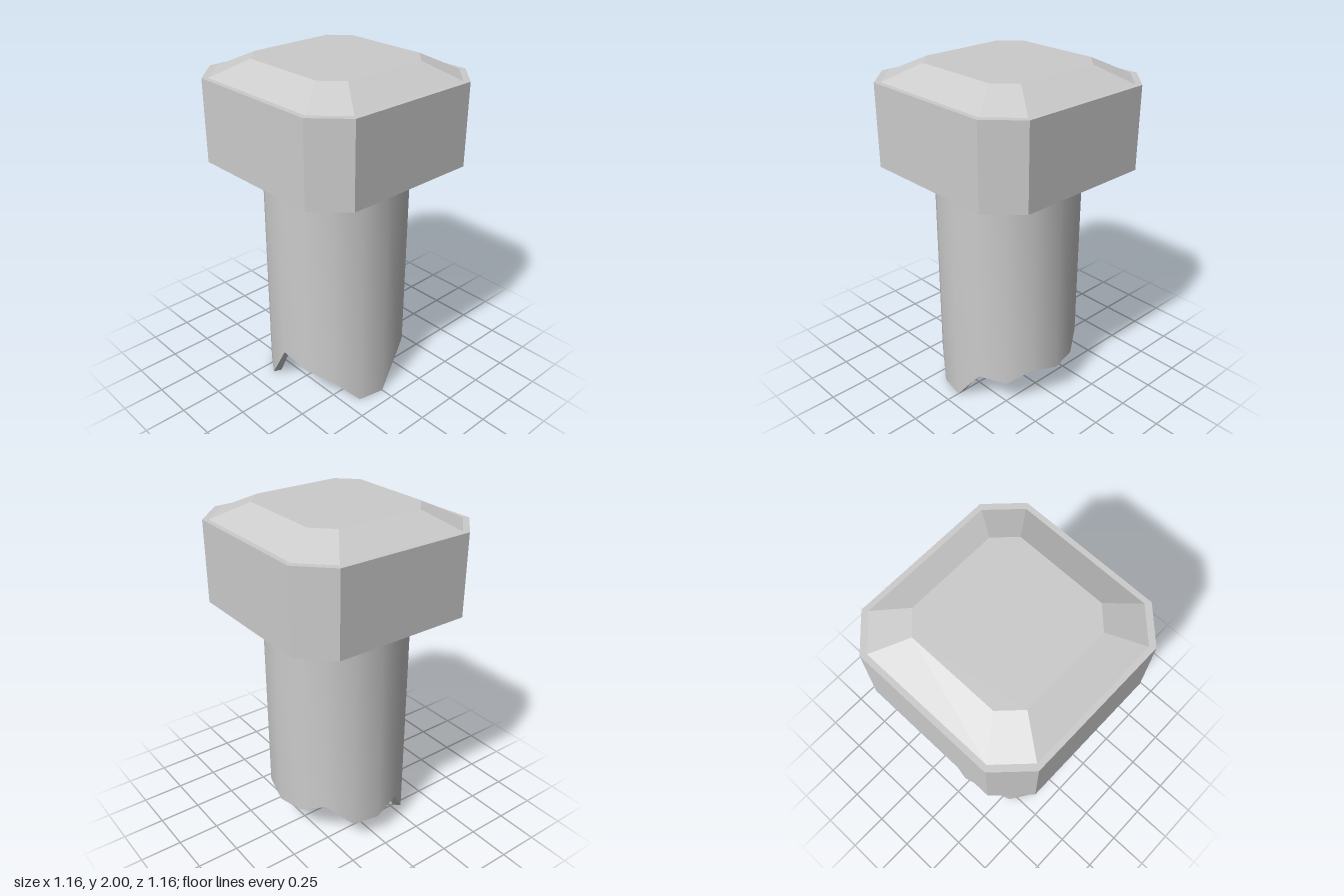
import * as THREE from 'three';
import { toCreasedNormals } from 'three/addons/utils/BufferGeometryUtils.js';
import { ConvexGeometry } from 'three/addons/geometries/ConvexGeometry.js';

const SIDES = 16;
const TOP = 1.43; // where the shaft meets the head

// Height of the broken edge at each side, from the front round through +x
const BREAK = [0.27, 0.21, 0.15, 0, 0, 0.21, 0.18, 0.26,
  0.22, 0.23, 0.29, 0.155, 0.155, 0.21, 0.01, 0.01];

// Square with cut corners: half width a, corners start at b
function octagon(a, b, y) {
  return [[a, b], [b, a], [-b, a], [-a, b], [-a, -b], [-b, -a], [b, -a], [a, -b]]
    .map(([x, z]) => new THREE.Vector3(x, y, z));
}

// One ring of the shaft; height may vary from side to side
function ring(radius, height) {
  return Array.from({ length: SIDES }, (_, i) => {
    const t = (i / SIDES) * Math.PI * 2;
    return [radius * Math.sin(t), height(i), radius * Math.cos(t)];
  });
}

// Skin joining consecutive rings
function loft(rings) {
  const index = [];
  for (let k = 0; k < rings.length - 1; k++) {
    for (let i = 0; i < SIDES; i++) {
      const j = (i + 1) % SIDES;
      const a = k * SIDES + i, d = k * SIDES + j;
      const b = a + SIDES, c = d + SIDES;
      index.push(a, b, c, a, c, d);
    }
  }
  const geometry = new THREE.BufferGeometry();
  geometry.setAttribute('position', new THREE.Float32BufferAttribute(rings.flat(2), 3));
  geometry.setIndex(index);
  return toCreasedNormals(geometry, THREE.MathUtils.degToRad(30));
}

export function createModel() {
  const group = new THREE.Group();
  const material = new THREE.MeshStandardMaterial({ color: 0xcccccc });
  const add = (name, geometry) => {
    const mesh = new THREE.Mesh(geometry, material);
    mesh.name = name;
    group.add(mesh);
  };

  // Head block and its bevelled cap
  add('headBlock', new ConvexGeometry([...octagon(0.58, 0.41, TOP), ...octagon(0.58, 0.41, 1.905)]));
  add('headCap', new ConvexGeometry([...octagon(0.55, 0.39, 1.905), ...octagon(0.367, 0.26, 2)]));

  // Shaft: outer wall, broken rim, inner wall and the slope to the hollow's end
  const broken = (i) => BREAK[i];
  add('shaft', loft([
    ring(0.42, () => TOP),
    ring(0.42, broken),
    ring(0.37, broken),
    ring(0.37, () => 0.34),
    ring(0.31, () => 0.4),
  ]));

  // Closed end of the hollow, facing down
  const end = new THREE.CircleGeometry(0.31, SIDES).rotateX(Math.PI / 2);
  add('hollowEnd', end.translate(0, 0.4, 0));

  return group;
}
